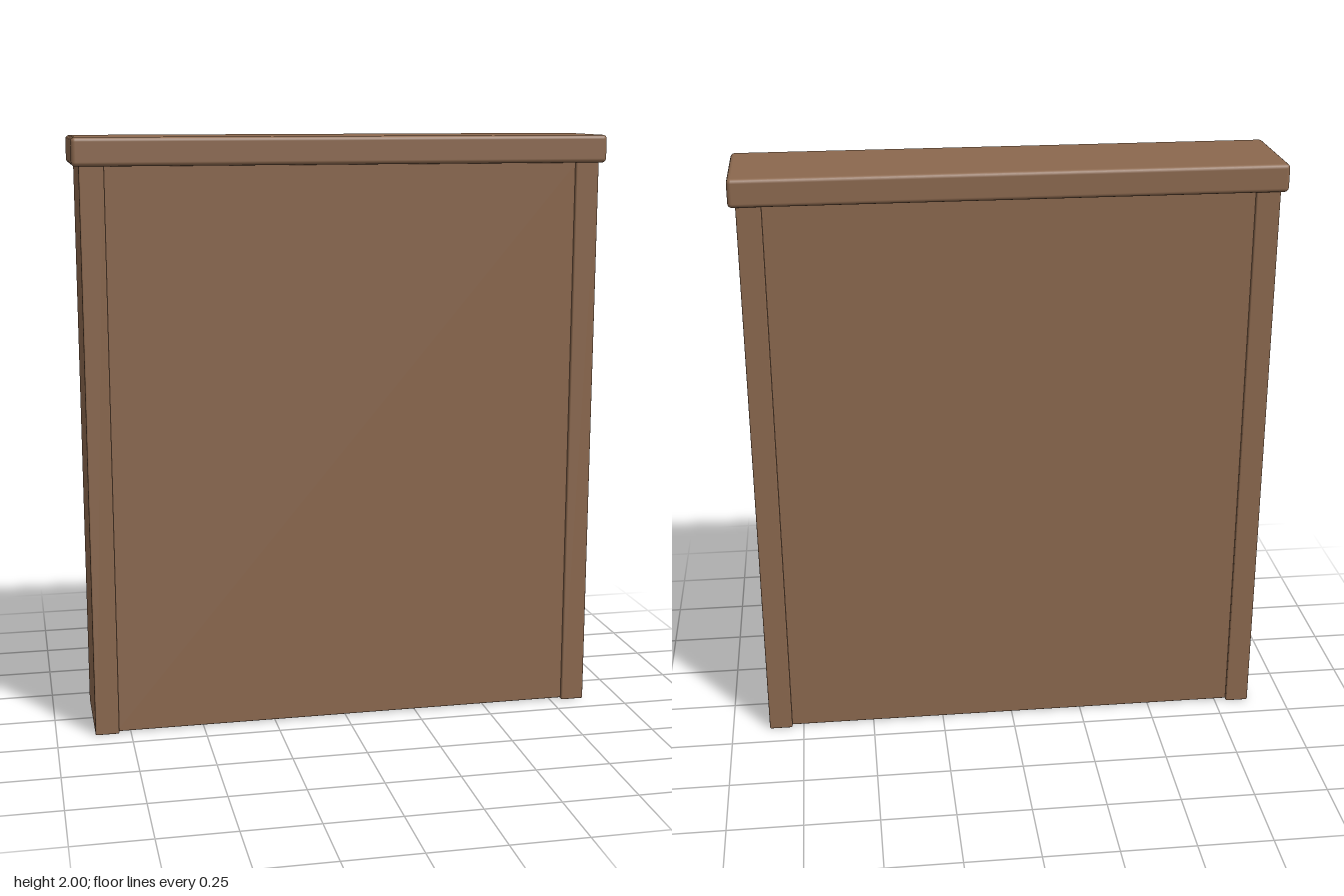
import * as THREE from 'three';
import { RoundedBoxGeometry } from 'three/addons/geometries/RoundedBoxGeometry.js';

export function createModel() {
  const group = new THREE.Group();
  const wood = new THREE.MeshStandardMaterial({ color: 0x8b684e });

  // Softly bevelled board, placed by its bottom height
  function board(name, width, height, depth, x, bottom, bevel) {
    const mesh = new THREE.Mesh(new RoundedBoxGeometry(width, height, depth, 3, bevel), wood);
    mesh.name = name;
    mesh.position.set(x, bottom + height / 2, 0);
    group.add(mesh);
  }

  // Slightly recessed wall between the posts
  board('panel', 1.6, 1.91, 0.316, 0, 0.004, 0.005);

  // Full-depth end posts
  for (const side of [-1, 1]) {
    board(side > 0 ? 'leftPost' : 'rightPost', 0.08, 1.915, 0.34, side * 0.83, 0, 0.005);
  }

  // Overhanging top cap
  board('cap', 1.786, 0.092, 0.37, 0, 1.908, 0.014);

  return group;
}
